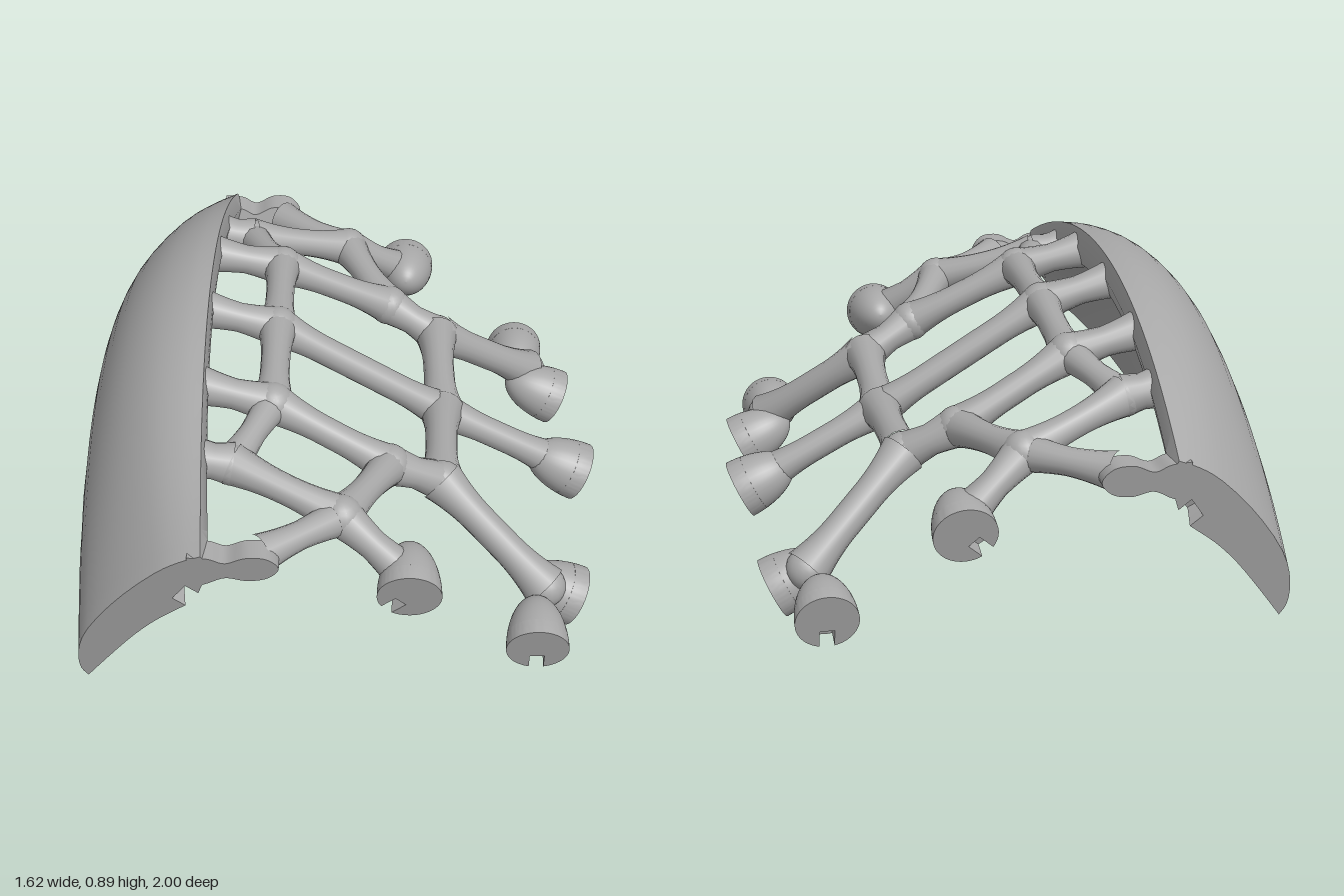
import * as THREE from 'three';
import { toCreasedNormals } from 'three/addons/utils/BufferGeometryUtils.js';

const V = (x, y, z) => new THREE.Vector3(x, y, z);
const curve = (pts, n) => new THREE.CatmullRomCurve3(pts.map(([x, y]) => V(x, y, 0))).getPoints(n);
// distance of the sloping end plane from the middle at height y
const endPlane = (y) => 1 - 0.24 * (0.65 - y);

// Closed shell cross-section: outer face, rim, key slot, inner face
function section(outer, rim, slot, inner) {
  return [
    ...curve(outer, 20),
    ...rim.map(([x, y]) => V(x, y, 0)),
    ...slot.map(([x, y]) => V(x, y, 0)),
    ...curve(inner, 12).slice(1, -1),
  ];
}

// Arched shell lofted along z from the middle section to the end section
function shellGeometry() {
  const mid = section(
    [[-0.77, 0.275], [-0.8, 0.31], [-0.808, 0.4], [-0.77, 0.58], [-0.685, 0.76], [-0.58, 0.865], [-0.48, 0.905], [-0.415, 0.905]],
    [[-0.405, 0.84], [-0.42, 0.785]],
    [[-0.45, 0.775], [-0.455, 0.776], [-0.495, 0.756], [-0.5, 0.755]],
    [[-0.5, 0.755], [-0.6, 0.67], [-0.68, 0.55], [-0.735, 0.4], [-0.77, 0.275]]);
  const end = section(
    [[-0.757, 0.055], [-0.775, 0.09], [-0.778, 0.165], [-0.75, 0.27], [-0.645, 0.435], [-0.515, 0.575], [-0.45, 0.62], [-0.39, 0.647]],
    [[-0.37, 0.6], [-0.39, 0.52]],
    [[-0.405, 0.475], [-0.441, 0.509], [-0.481, 0.449], [-0.445, 0.415]],
    [[-0.445, 0.415], [-0.53, 0.345], [-0.6, 0.27], [-0.69, 0.15], [-0.757, 0.055]]);
  const n = mid.length, slotAt = 23;
  const rows = [-1, -0.955, -0.95];
  for (let i = -36; i <= 36; i++) rows.push(i / 39);
  rows.push(0.95, 0.955, 1);

  const pos = [], idx = [];
  for (const s of rows) {
    const k = s * s;
    for (let j = 0; j < n; j++) {
      const e = end[j].clone();
      // the slot is only cut near the ends
      if (Math.abs(s) < 0.953) {
        if (j === slotAt + 1) e.lerpVectors(end[slotAt], end[slotAt + 3], 0.05);
        if (j === slotAt + 2) e.lerpVectors(end[slotAt], end[slotAt + 3], 0.95);
      }
      const p = mid[j].clone().lerp(e, k);
      // soft ripples along the lower edge
      const low = Math.max(0, 1 - Math.min(j, n - j) / 7);
      const wave = low * Math.cos(s * 22) * (1 - k);
      pos.push(p.x + 0.008 * wave, p.y + 0.02 * s + 0.006 * wave, s * endPlane(e.y));
    }
  }
  for (let i = 0; i < rows.length - 1; i++) {
    for (let j = 0; j < n; j++) {
      const a = i * n + j, b = i * n + (j + 1) % n;
      idx.push(a, a + n, b, b, a + n, b + n);
    }
  }
  // flat end faces
  const flat = end.map((p) => new THREE.Vector2(p.x, p.y));
  const last = (rows.length - 1) * n;
  for (const [a, b, c] of THREE.ShapeUtils.triangulateShape(flat, [])) {
    const ccw = THREE.ShapeUtils.area([flat[a], flat[b], flat[c]]) > 0;
    const [p, q] = ccw ? [b, c] : [c, b];
    idx.push(last + a, last + p, last + q, a, q, p);
  }
  const g = new THREE.BufferGeometry();
  g.setAttribute('position', new THREE.Float32BufferAttribute(pos, 3));
  g.setIndex(idx);
  return toCreasedNormals(g, 0.6);
}

// Waisted tab that carries on the end plane beside the shell
function tabGeometry(side) {
  const outline = [[-0.43, 0.64], [-0.37, 0.635], [-0.325, 0.615], [-0.265, 0.64], [-0.205, 0.635], [-0.172, 0.592],
    [-0.205, 0.548], [-0.265, 0.535], [-0.325, 0.548], [-0.38, 0.52], [-0.43, 0.5]];
  const shape = new THREE.Shape(curve(outline, 44).map((p) => new THREE.Vector2(p.x, p.y)));
  const g = new THREE.ExtrudeGeometry(shape, { depth: 0.08, bevelEnabled: false });
  const p = g.attributes.position;
  for (let i = 0; i < p.count; i++) {
    const y = p.getY(i), inset = side > 0 ? p.getZ(i) - 0.08 : p.getZ(i);
    p.setXYZ(i, p.getX(i), y + 0.02 * side, inset + side * endPlane(y));
  }
  return toCreasedNormals(g, 0.6);
}

// Round strut that flares where it meets its neighbours
function strutGeometry(points, r) {
  const steps = 28, sides = 16;
  const g = new THREE.TubeGeometry(new THREE.CatmullRomCurve3(points), steps, r, sides);
  const length = points[0].distanceTo(points[points.length - 1]);
  const p = g.attributes.position, nrm = g.attributes.normal;
  for (let i = 0; i < p.count; i++) {
    const u = Math.floor(i / (sides + 1)) / steps;
    const d = Math.min(u, 1 - u) * length;
    const grow = 0.45 * r * Math.pow(Math.max(0, 1 - d / 0.17), 2);
    p.setXYZ(i, p.getX(i) + nrm.getX(i) * grow, p.getY(i) + nrm.getY(i) * grow, p.getZ(i) + nrm.getZ(i) * grow);
  }
  return g;
}

export function createModel() {
  const model = new THREE.Group();
  const grey = new THREE.MeshStandardMaterial({ color: 0xa8a8a8 });
  grey.name = 'plain grey';
  const add = (name, geometry, parent = model) => {
    const m = new THREE.Mesh(geometry, grey);
    m.name = name;
    parent.add(m);
    return m;
  };
  // the whole frame leans slightly across z
  const at = ([x, y, z], side = 1) => V(x, y + 0.02 * z * side, z * side);

  add('archedShell', shellGeometry());

  // Lattice joints on the +z half
  const J = {
    rimMid: [-0.45, 0.825, 0], rimInner: [-0.44, 0.795, 0.37], rimOuter: [-0.43, 0.715, 0.63],
    upperMid: [-0.21, 0.757, 0], upperSide: [-0.21, 0.738, 0.385],
    lowerMid: [0.31, 0.435, 0], lowerSide: [0.3, 0.46, 0.4],
    shoulder: [0.14, 0.55, 0.44], elbow: [0, 0.59, 0.74],
    fork: [-0.32, 0.695, 0.63], tab: [-0.23, 0.592, 0.92],
    tipMid: [0.68, 0.235, 0], tipSide: [0.62, 0.19, 0.58], tipOuter: [0.19, 0.445, 0.83],
  };
  const middle = [['rimMid', 'upperMid'], ['upperMid', 'lowerMid'], ['lowerMid', 'tipMid']];
  const sides = [
    ['rimInner', 'upperSide'], ['upperMid', 'upperSide'], ['lowerMid', 'lowerSide', 0.05],
    ['upperSide', 'shoulder'], ['shoulder', 'lowerSide'], ['lowerSide', 'tipSide', 0.05],
    ['shoulder', 'elbow'], ['elbow', 'tipOuter'], ['elbow', 'fork'], ['fork', 'rimOuter'],
    ['fork', 'upperSide', 0.04], ['elbow', 'tab', 0.042],
  ];
  const strut = ([a, b, r = 0.045], side) =>
    add('strut', strutGeometry([at(J[a], side), at(J[b], side)], r));
  const joint = (key, side, r = 0.065) =>
    add('joint', new THREE.SphereGeometry(r, 20, 14)).position.copy(at(J[key], side));

  middle.forEach((s) => strut(s, 1));
  ['upperMid', 'lowerMid'].forEach((k) => joint(k, 1));

  // Slotted bullet-shaped foot: flat face at local z = 0, slot towards local -y
  const R = 0.095, W = 0.022, L = 0.187, slotDepth = 0.05, slotAngle = Math.asin(W / R);
  const radiusAt = (t) => R * Math.sqrt(Math.max(0, 1 - (t / L) ** 2));
  const face = new THREE.Shape();
  face.absarc(0, 0, R, -Math.PI / 2 + slotAngle, Math.PI * 1.5 - slotAngle, false);
  face.lineTo(-W, -0.035);
  face.lineTo(W, -0.035);
  face.closePath();
  const slotted = new THREE.ExtrudeGeometry(face, { depth: slotDepth, steps: 3, bevelEnabled: false, curveSegments: 36 })
    .translate(0, 0, -slotDepth);
  const sp = slotted.attributes.position;
  for (let i = 0; i < sp.count; i++) {
    const k = radiusAt(-sp.getZ(i)) / R;
    sp.setXY(i, sp.getX(i) * k, sp.getY(i) * k);
  }
  const faceGeo = toCreasedNormals(slotted, 0.6);
  const profile = [new THREE.Vector2(0, 0), new THREE.Vector2(radiusAt(slotDepth) - 0.0002, 0)];
  for (let i = 0; i <= 12; i++) {
    const t = slotDepth + (L - slotDepth) * Math.sin(i * Math.PI / 24);
    profile.push(new THREE.Vector2(radiusAt(t), t - slotDepth + 0.0002));
  }
  const domeGeo = new THREE.LatheGeometry(profile, 32).rotateX(-Math.PI / 2).translate(0, 0, -slotDepth);

  const foot = (name, place, normal, slotDir) => {
    const g = new THREE.Group();
    g.name = name;
    const z = normal.clone().normalize();
    const x = slotDir.clone().negate().cross(z).normalize();
    const y = z.clone().cross(x);
    g.quaternion.setFromRotationMatrix(new THREE.Matrix4().makeBasis(x, y, z));
    g.position.copy(place);
    add('footFace', faceGeo, g);
    add('footDome', domeGeo, g);
    model.add(g);
  };
  const forward = V(0.9, -0.44, 0), down = V(0, -1, 0);
  foot('middleFoot', V(0.765, 0.19, 0), forward, down);

  for (const side of [1, -1]) {
    sides.forEach((s) => strut(s, side));
    ['upperSide', 'lowerSide', 'shoulder', 'elbow', 'tipSide'].forEach((k) => joint(k, side));
    joint('fork', side, 0.06);
    add('endTab', tabGeometry(side));

    const outward = V(0, -0.25, 0.97 * side);
    foot('frontFoot', at([0.72, 0.11, 0.53], side), forward, down);
    foot('cornerFoot', at([0.59, 0.13, 0.805], side), outward, down);
    foot('sideFoot', at([0.2, 0.418, 0.9], side), outward, V(-0.7, -0.7, 0));
  }
  return model;
}
